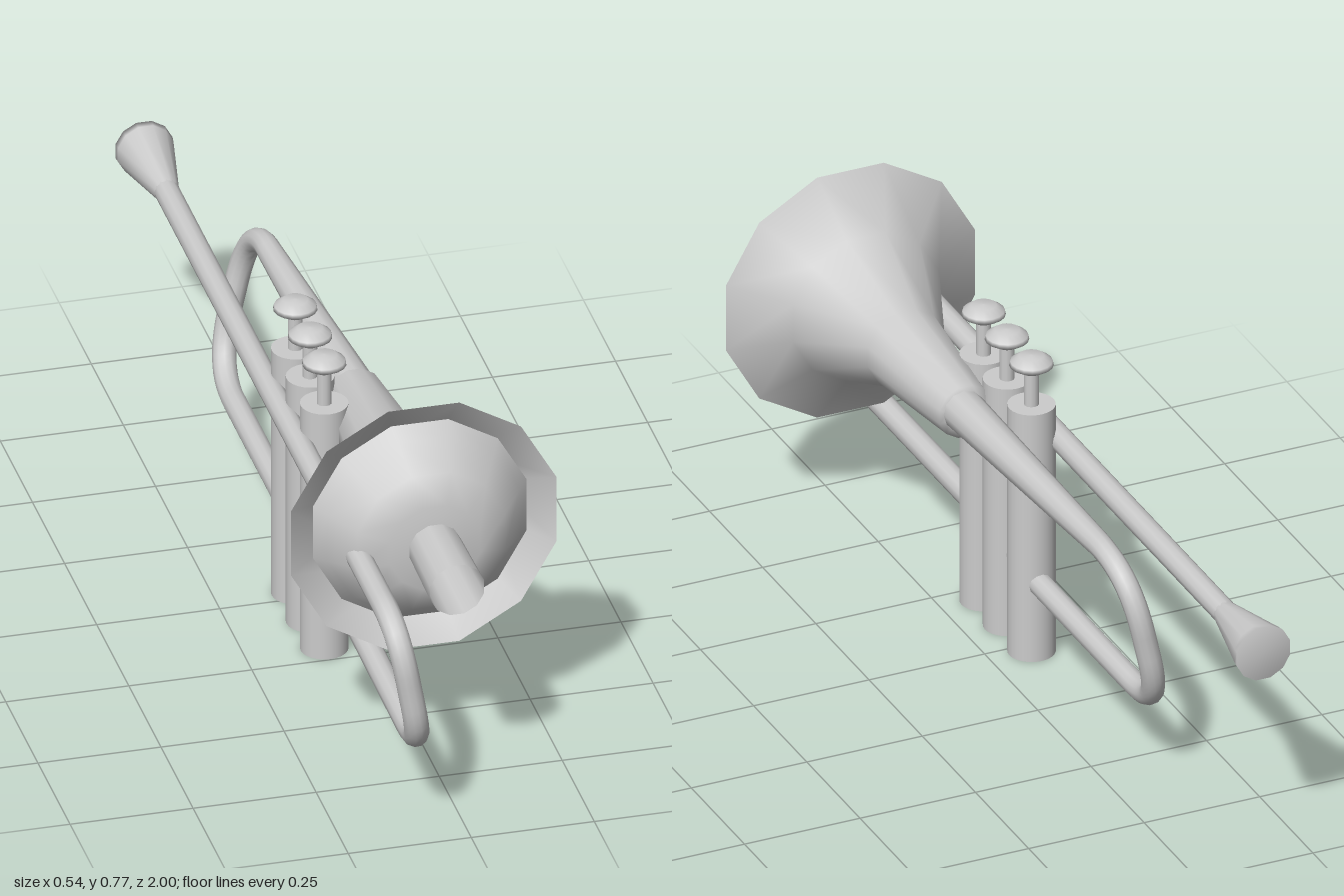
import * as THREE from 'three';

const V = (x, y, z) => new THREE.Vector3(x, y, z);

export function createModel() {
  const model = new THREE.Group();
  const material = new THREE.MeshStandardMaterial({ color: 0xcccccc, side: THREE.DoubleSide });

  const add = (name, geometry, x = 0, y = 0, z = 0) => {
    const mesh = new THREE.Mesh(geometry, material);
    mesh.name = name;
    mesh.position.set(x, y, z);
    model.add(mesh);
    return mesh;
  };

  // Twelve-sided lathe along z; profile is [distance to flat side, z]
  const latheZ = (profile) => {
    const k = 1 / Math.cos(Math.PI / 12);
    const points = profile.map(([r, z]) => new THREE.Vector2(r * k, z));
    return new THREE.LatheGeometry(points, 12, Math.PI / 12).rotateX(Math.PI / 2);
  };

  // Tube whose radius follows radiusAt(t)
  const sweep = (path, steps, radiusAt) => {
    const sides = 12;
    const geometry = new THREE.TubeGeometry(path, steps, 1, sides, false);
    const pos = geometry.attributes.position;
    const p = V(0, 0, 0);
    for (let i = 0; i <= steps; i++) {
      const centre = path.getPointAt(i / steps);
      for (let j = 0; j <= sides; j++) {
        const n = i * (sides + 1) + j;
        p.fromBufferAttribute(pos, n).sub(centre).multiplyScalar(radiusAt(i / steps)).add(centre);
        pos.setXYZ(n, p.x, p.y, p.z);
      }
    }
    return geometry;
  };

  // Path out along z, round two rounded corners, and back
  const bowPath = (start, top, bottom, end, zEnd, radius) => {
    const dir = Math.sign(zEnd - top.z);
    const upright = bottom.clone().sub(top).normalize();
    const cornerA = V(top.x, top.y, zEnd);
    const cornerB = V(bottom.x, bottom.y, zEnd);
    const a0 = cornerA.clone().add(V(0, 0, -dir * radius));
    const a1 = cornerA.clone().addScaledVector(upright, radius);
    const b0 = cornerB.clone().addScaledVector(upright, -radius);
    const b1 = cornerB.clone().add(V(0, 0, -dir * radius));
    const path = new THREE.CurvePath();
    path.add(new THREE.LineCurve3(start, a0));
    path.add(new THREE.QuadraticBezierCurve3(a0, cornerA, a1));
    path.add(new THREE.LineCurve3(a1, b0));
    path.add(new THREE.QuadraticBezierCurve3(b0, cornerB, b1));
    path.add(new THREE.LineCurve3(b1, end));
    return path;
  };

  // Flared bell
  add('bell', latheZ([[0.04, 0.085], [0.056, 0.09], [0.083, 0.37], [0.158, 0.556], [0.27, 0.63]]), 0, 0.5);

  // Mute plugged into the bell, with its open stem
  add('mute', latheZ([[0.217, 0.598], [0.195, 0.628], [0.15, 0.69], [0.092, 0.718], [0, 0.72]]), 0, 0.5);
  add('muteStem', latheZ([[0.052, 0.715], [0.055, 0.89]]), 0, 0.5);

  // Tapered bell tail, rear bow and return into the valves
  const tail = bowPath(V(0.005, 0.505, 0.1), V(-0.017, 0.497, -0.5), V(-0.09, 0.17, -0.5),
    V(-0.09, 0.17, -0.02), -0.642, 0.14);
  add('bellTail', sweep(tail, 90, (t) => Math.max(0.024, 0.044 - 0.05 * t)));

  // Lead pipe, front tuning slide and return into the valves
  const lead = bowPath(V(-0.143, 0.475, -0.84), V(-0.143, 0.475, 0.87), V(-0.093, 0.195, 0.87),
    V(-0.09, 0.2, 0.2), 0.976, 0.11);
  add('leadPipe', sweep(lead, 140, () => 0.025));

  // Mouthpiece
  add('mouthpiece', latheZ([[0, -1], [0.058, -1], [0.056, -0.985], [0.026, -0.83], [0.024, -0.82]]),
    -0.143, 0.475);

  // Three valves, each with stem and finger button
  const button = [[0, 0.625], [0.02, 0.628], [0.044, 0.643], [0.042, 0.652], [0.025, 0.664], [0, 0.666]]
    .map(([r, y]) => new THREE.Vector2(r, y));
  for (const z of [0.2, 0.09, -0.025]) {
    add('valveCasing', new THREE.CylinderGeometry(0.048, 0.048, 0.555, 24), -0.09, 0.2775, z);
    add('valveStem', new THREE.CylinderGeometry(0.015, 0.015, 0.1, 12), -0.09, 0.59, z);
    add('fingerButton', new THREE.LatheGeometry(button, 16), -0.09, 0, z);
  }

  // Short connectors between neighbouring valves
  for (const z of [0.145, 0.0325]) {
    add('valveConnector', new THREE.CylinderGeometry(0.022, 0.022, 0.08, 12).rotateX(Math.PI / 2), -0.09, 0.185, z);
  }

  return model;
}
